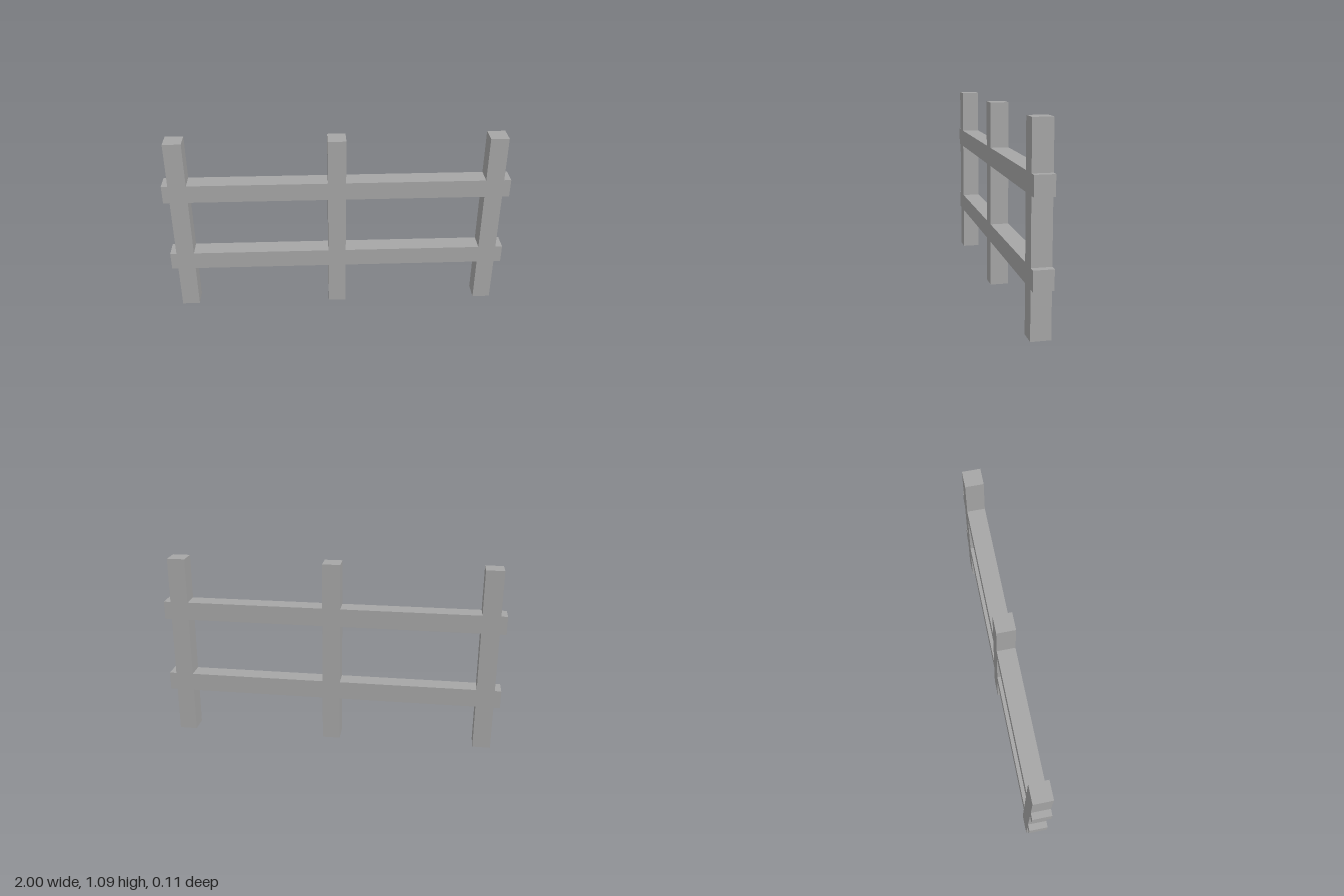
import * as THREE from 'three';

const DEPTH = 0.107;
const HEIGHT = 1.092;
const POST_WIDTH = 0.104;
const RAIL_HEIGHT = 0.107;

export function createModel() {
  const fence = new THREE.Group();
  fence.name = 'fence';
  const grey = new THREE.MeshStandardMaterial({ color: 0xa6a6a6 });
  grey.name = 'grey';

  // Box spanning x0..x1 and y0..y1 at the common fence depth
  const addBoard = (name, x0, x1, y0, y1) => {
    const board = new THREE.Mesh(new THREE.BoxGeometry(x1 - x0, y1 - y0, DEPTH), grey);
    board.position.set((x0 + x1) / 2, (y0 + y1) / 2, 0);
    board.name = name;
    fence.add(board);
  };

  // Upright posts
  const posts = { rightPost: -0.911, middlePost: -0.002, leftPost: 0.907 };
  for (const [name, x] of Object.entries(posts)) {
    addBoard(name, x - POST_WIDTH / 2, x + POST_WIDTH / 2, 0, HEIGHT);
  }

  // Rails flush with the posts: spans between them and short stubs at both ends
  const centres = Object.values(posts);
  const starts = [-1, ...centres.map((x) => x + POST_WIDTH / 2)];
  const ends = [...centres.map((x) => x - POST_WIDTH / 2), 1];
  const rails = { lowerRail: 0.266, upperRail: 0.723 };
  for (const [name, y] of Object.entries(rails)) {
    starts.forEach((x, i) => addBoard(`${name}${i + 1}`, x, ends[i], y, y + RAIL_HEIGHT));
  }

  return fence;
}
